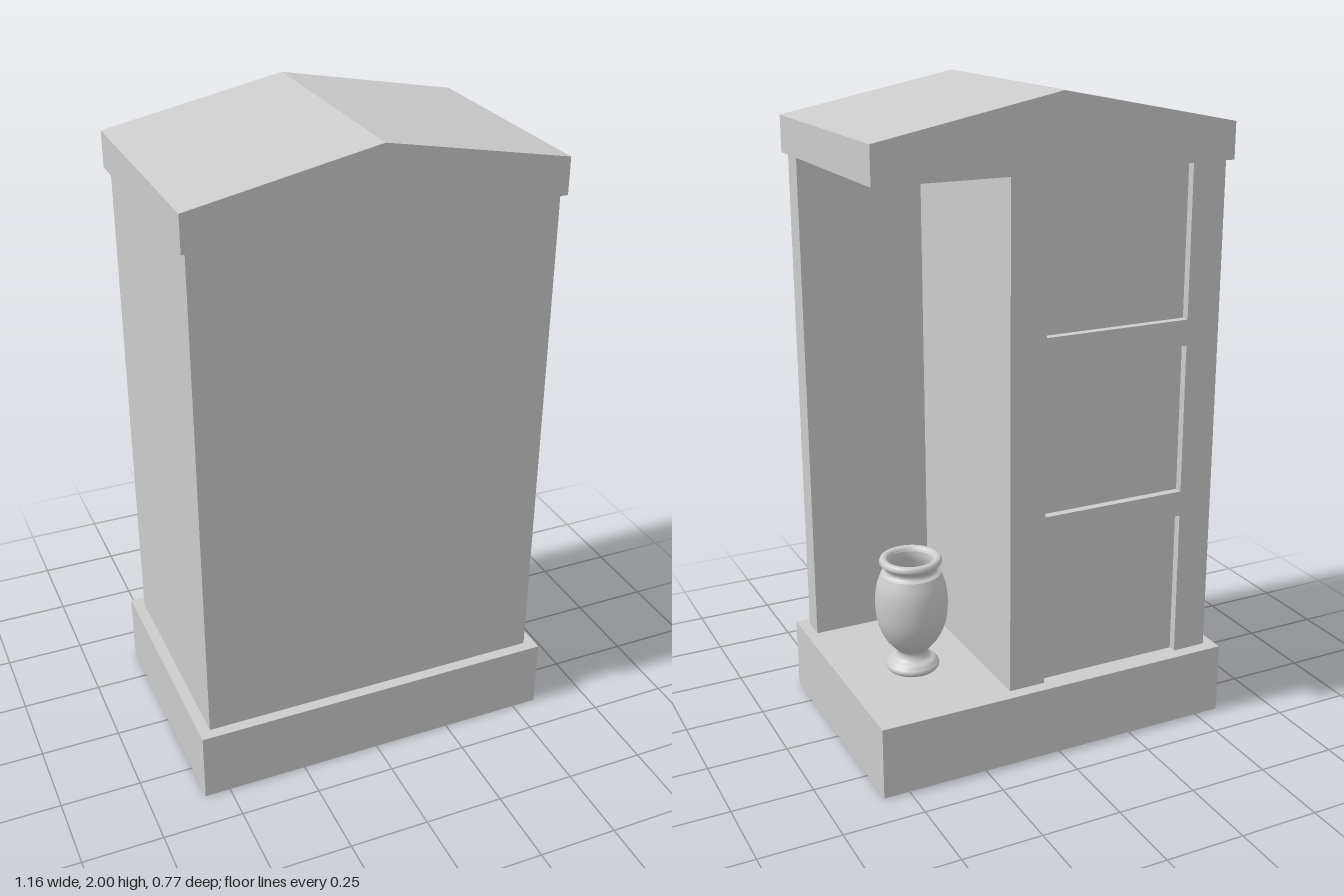
import * as THREE from 'three';

const material = new THREE.MeshStandardMaterial({ color: 0xcccccc, side: THREE.DoubleSide });

// Box given by its minimum and maximum corners
function box(name, x0, x1, y0, y1, z0, z1) {
  const geo = new THREE.BoxGeometry(x1 - x0, y1 - y0, z1 - z0);
  geo.translate((x0 + x1) / 2, (y0 + y1) / 2, (z0 + z1) / 2);
  const mesh = new THREE.Mesh(geo, material);
  mesh.name = name;
  return mesh;
}

// Outline in x and y, extruded from z0 to z1
function extrude(name, points, z0, z1) {
  const shape = new THREE.Shape(points.map(([x, y]) => new THREE.Vector2(x, y)));
  const geo = new THREE.ExtrudeGeometry(shape, { depth: z1 - z0, bevelEnabled: false });
  geo.translate(0, 0, z0);
  const mesh = new THREE.Mesh(geo, material);
  mesh.name = name;
  return mesh;
}

// Smooth lathe section through a few radius and height pairs
function turned(name, pairs, steps) {
  const pts = pairs.map(([r, y]) => new THREE.Vector2(r, y));
  const profile = steps ? new THREE.SplineCurve(pts).getPoints(steps) : pts;
  const mesh = new THREE.Mesh(new THREE.LatheGeometry(profile, 48), material);
  mesh.name = name;
  return mesh;
}

function createUrn() {
  const urn = new THREE.Group();
  urn.name = 'urn';
  urn.add(
    turned('urnFoot', [[0.076, 0], [0.082, 0.007], [0.082, 0.016], [0.076, 0.024]], 10),
    turned('urnFootTop', [[0.076, 0.024], [0.07, 0.031], [0.055, 0.04], [0.048, 0.054], [0.05, 0.066], [0.058, 0.074]], 16),
    turned('urnBody', [[0.058, 0.074], [0.085, 0.108], [0.106, 0.16], [0.112, 0.22], [0.107, 0.275], [0.092, 0.32]], 28),
    turned('urnNeck', [[0.092, 0.32], [0.082, 0.326], [0.079, 0.335], [0.084, 0.345]], 10),
    turned('urnRim', [[0.084, 0.345], [0.094, 0.352], [0.096, 0.36], [0.092, 0.369], [0.084, 0.372], [0.074, 0.369], [0.068, 0.358]], 20),
    turned('urnInside', [[0.068, 0.358], [0.07, 0.33], [0.09, 0.27], [0.094, 0.21], [0.08, 0.14], [0.05, 0.1], [0, 0.09]], 28),
  );
  urn.position.set(0.35, 0.225, -0.065);
  return urn;
}

export function createModel() {
  const model = new THREE.Group();
  model.name = 'columbarium';

  const floor = 0.225, top = 1.78;
  const back = -0.345, recess = 0.025;
  const blockLeft = 0.15, side = 0.545;

  model.add(box('base', -0.58, 0.58, 0, floor, -0.385, 0.385));
  model.add(box('frontWall', -side, side, floor, top, 0.275, 0.35));
  model.add(box('nicheBlock', -side, blockLeft, floor, top, back + recess, 0.275));

  // Frame on the back: two stiles and two rails around three sunken panels
  const panelRight = -0.435, panelLeft = 0.035, rail = 0.08;
  const panelHeight = (top - floor - 2 * rail) / 3;
  model.add(box('rightStile', -side, panelRight, floor, top, back, back + recess));
  model.add(box('leftStile', panelLeft, blockLeft, floor, top, back, back + recess));
  for (let i = 1; i <= 2; i++) {
    const y = floor + i * panelHeight + (i - 1) * rail;
    model.add(box('panelRail' + i, panelRight, panelLeft, y, y + rail, back, back + recess));
  }

  // Gabled roof slab
  model.add(extrude('roof', [[-0.56, top], [0.56, top], [0.56, 1.89], [0, 2], [-0.56, 1.89]], -0.365, 0.365));

  model.add(createUrn());
  return model;
}
